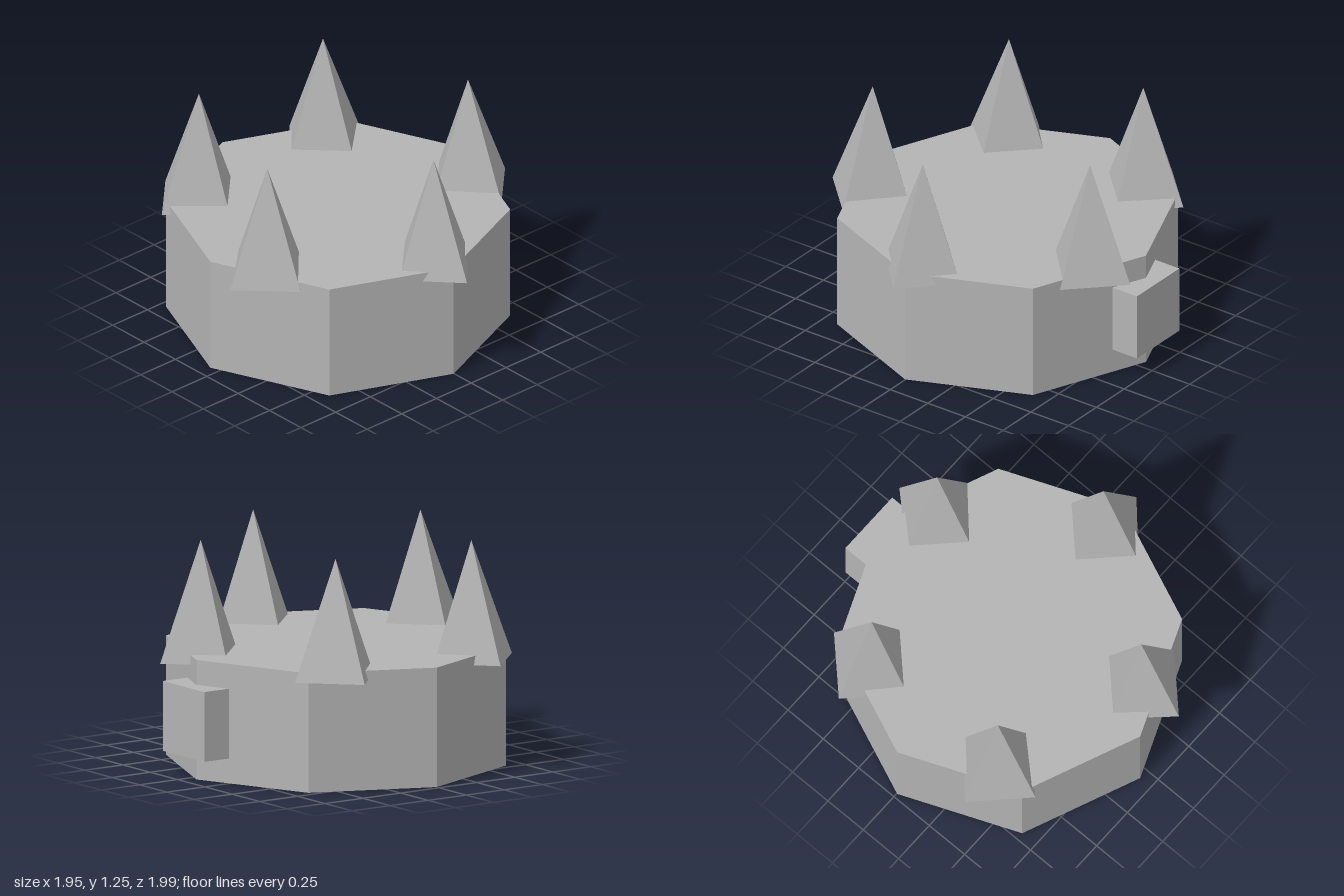
import * as THREE from 'three';

export function createModel() {
  const model = new THREE.Group();
  const stone = new THREE.MeshStandardMaterial({ color: 0xb4b4b4 });
  stone.name = 'stone grey';

  const add = (name, geometry, x, y, z) => {
    const flat = geometry.toNonIndexed();
    flat.computeVertexNormals(); // faceted normals
    const mesh = new THREE.Mesh(flat, stone);
    mesh.name = name;
    mesh.position.set(x, y, z);
    model.add(mesh);
  };

  // Eight-sided drum
  add('drum', new THREE.CylinderGeometry(0.92, 0.92, 0.65, 8), -0.057, 0.325, 0.003);

  // Five four-sided spikes around the rim, each base reaching slightly further outward
  for (let i = 0; i < 5; i++) {
    const angle = (i / 5) * Math.PI * 2;
    const cx = -0.057 + 0.76 * Math.cos(angle);
    const cz = 0.76 * Math.sin(angle);
    const cone = new THREE.ConeGeometry(0.247, 0.645, 4);
    const p = cone.attributes.position;
    for (let v = 0; v < p.count; v++) {
      const x = p.getX(v), z = p.getZ(v);
      if (x * cx > 0) p.setX(v, x * 1.08);
      if (Math.abs(cz) > 0.1 && z * cz > 0) p.setZ(v, z * 1.08);
    }
    add('spike' + (i + 1), cone, cx, 0.9225, cz + 0.003);
  }

  // Block set into the back corner of the drum
  add('backBlock', new THREE.BoxGeometry(0.38, 0.38, 0.2), -0.055, 0.325, -0.9);

  return model;
}
